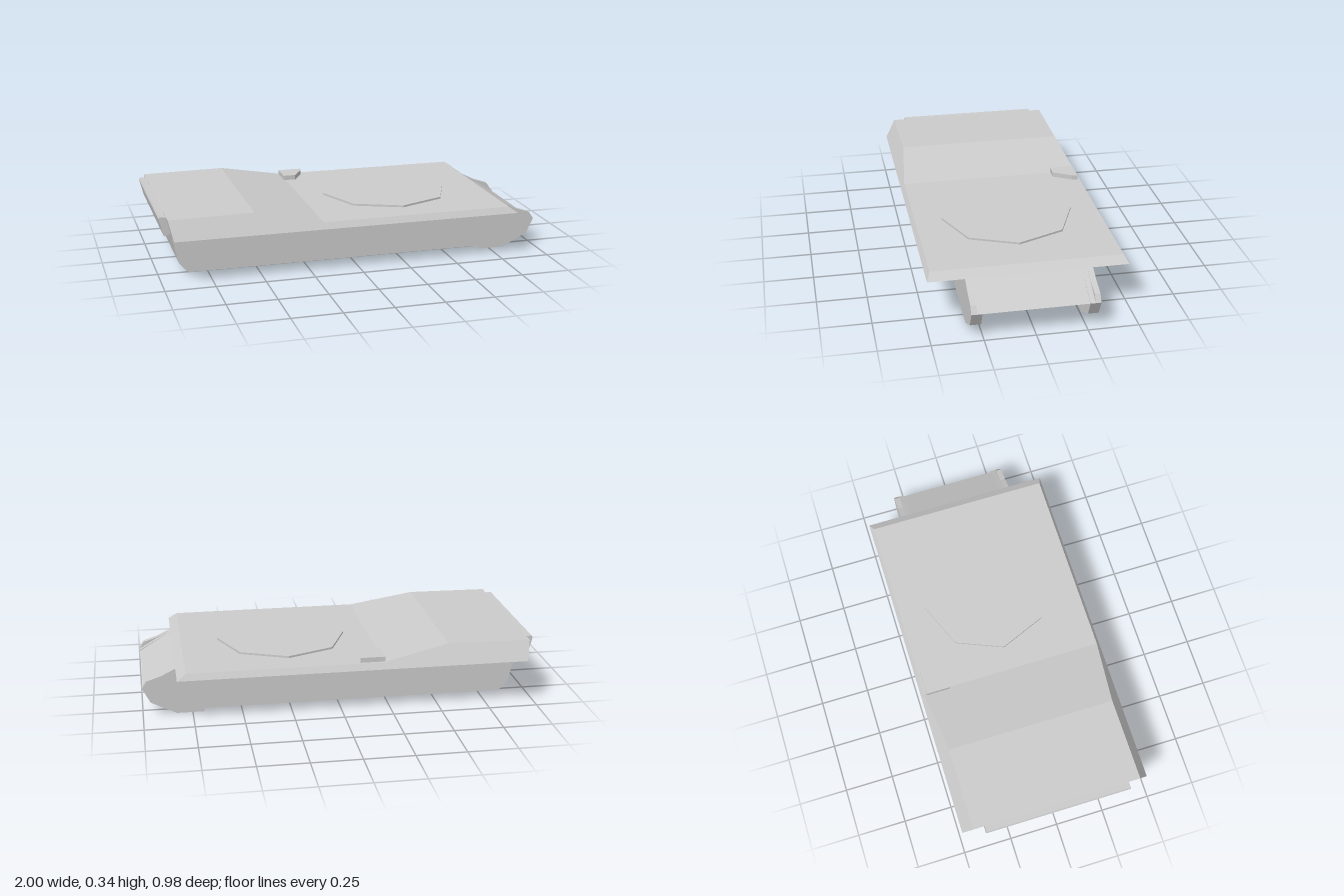
import * as THREE from 'three';

const material = new THREE.MeshStandardMaterial({ color: 0xcccccc, flatShading: true });

// Side outline (x, y) extruded from z0 to z1
function slab(points, z0, z1) {
  const shape = new THREE.Shape(points.map(([x, y]) => new THREE.Vector2(x, y)));
  const geometry = new THREE.ExtrudeGeometry(shape, { depth: z1 - z0, bevelEnabled: false });
  return geometry.translate(0, 0, z0);
}

export function createModel() {
  const group = new THREE.Group();
  const add = (name, geometry) => {
    const mesh = new THREE.Mesh(geometry, material);
    mesh.name = name;
    group.add(mesh);
    return mesh;
  };

  // Lower hull tub with a wedge-shaped bow
  const tail = [[-0.94, 0.24], [-0.9, 0.07], [-0.855, 0.018]];
  add('lowerHull', slab([...tail, [0.7, 0.016], [0.995, 0.14], [0.83, 0.24]], -0.257, 0.257));

  // Side walls: bow cheeks reach below the tub, outer skin rises above the glacis
  const keel = [[0.69, 0.018], [0.69, 0], [0.83, 0], [0.96, 0.065], [1, 0.143]];
  const innerWall = [...tail, ...keel, [0.83, 0.24]];
  const outerWall = [...tail, ...keel, [0.975, 0.18], [0.9, 0.205], [0.83, 0.24]];
  for (const [side, label] of [[1, 'left'], [-1, 'right']]) {
    const wall = (points, a, b) => slab(points, Math.min(a * side, b * side), Math.max(a * side, b * side));
    add(label + 'InnerWall', wall(innerWall, 0.257, 0.282));
    add(label + 'OuterWall', wall(outerWall, 0.282, 0.31));
  }

  // Upper hull: side faces lean inwards with height
  const upper = slab([
    [-0.945, 0.24], [0.83, 0.24], [0.785, 0.272], [-0.2, 0.272], [-0.54, 0.34], [-0.965, 0.335],
  ], -1, 1);
  const p = upper.attributes.position;
  for (let i = 0; i < p.count; i++) {
    p.setZ(i, p.getZ(i) * (0.49 - 0.55 * (p.getY(i) - 0.24)));
  }
  upper.computeVertexNormals();
  add('upperHull', upper);

  // Overhanging stern plate
  add('sternPlate', slab([
    [-0.978, 0.238], [-0.935, 0.25], [-0.955, 0.334], [-0.995, 0.335], [-1, 0.325],
  ], -0.377, 0.377));

  // Eight-sided turret ring
  const ring = new THREE.CylinderGeometry(0.336, 0.336, 0.02, 8);
  add('turretRing', ring).position.set(0.26, 0.272, 0);

  // Raised block on the right edge of the deck (plan outline in x, z)
  const plan = [[-0.21, -0.46], [-0.085, -0.46], [-0.09, -0.43], [-0.145, -0.335], [-0.21, -0.335]];
  const block = slab(plan.map(([x, z]) => [x, -z]), 0, 0.045);
  block.rotateX(-Math.PI / 2).translate(0, 0.252, 0);
  add('deckBlock', block);

  return group;
}
